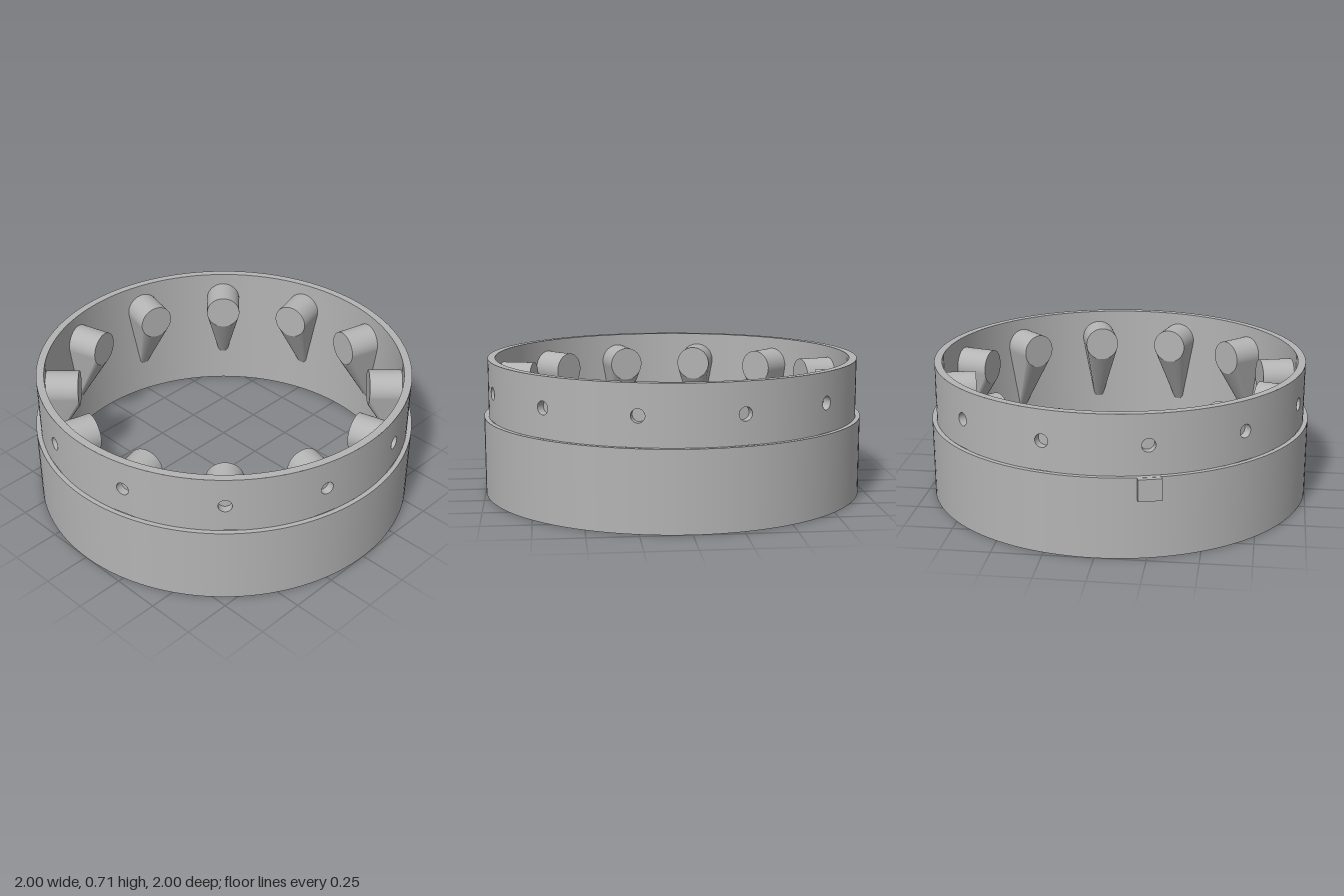
import * as THREE from 'three';

const R_LOW = 1, R_UP = 0.976, R_IN = 0.936;
const STEP = 0.41, TOP = 0.715;
const COUNT = 12, HOLE_Y = 0.56, HOLE_R = 0.034;
const BOSS_R = 0.093, BOSS_END = 0.763, BORE_END = 0.79;
const PANEL = THREE.MathUtils.degToRad(4);

// Flat panel with a hole, bent round the upper wall
function holePanel() {
  const w = PANEL * R_UP;
  const shape = new THREE.Shape();
  shape.moveTo(-w, STEP).lineTo(w, STEP).lineTo(w, TOP).lineTo(-w, TOP).closePath();
  const hole = new THREE.Path();
  hole.absarc(0, HOLE_Y, HOLE_R, 0, Math.PI * 2, true);
  shape.holes.push(hole);
  const geo = new THREE.ShapeGeometry(shape, 16);
  const p = geo.attributes.position, n = geo.attributes.normal;
  for (let i = 0; i < p.count; i++) {
    const a = p.getX(i) / R_UP;
    p.setXYZ(i, R_UP * Math.sin(a), p.getY(i), R_UP * Math.cos(a));
    n.setXYZ(i, Math.sin(a), 0, Math.cos(a));
  }
  return geo;
}

// Boss that blends from a round end into a teardrop on the wall
function bossGeometry() {
  const far = 0.95, tipY = 0.19, tipR = 0.025, sides = 72;
  const limit = (BOSS_R - tipR) / (HOLE_Y - tipY);
  const pos = [], index = [];
  for (let i = 0; i < sides; i++) {
    const a = (i / sides) * Math.PI * 2, c = Math.cos(a), s = Math.sin(a);
    const low = -s > limit;
    const r = low ? tipR : BOSS_R, y = low ? tipY : HOLE_Y;
    pos.push(BOSS_R * c, HOLE_Y + BOSS_R * s, BOSS_END, r * c, y + r * s, far);
    const n0 = 2 * i, n1 = 2 * ((i + 1) % sides);
    index.push(n0, n1, n1 + 1, n0, n1 + 1, n0 + 1);
  }
  const geo = new THREE.BufferGeometry();
  geo.setAttribute('position', new THREE.Float32BufferAttribute(pos, 3));
  geo.setIndex(index);
  geo.computeVertexNormals();
  return geo;
}

export function createModel() {
  const model = new THREE.Group();
  model.name = 'steppedRing';
  const grey = new THREE.MeshStandardMaterial({ color: 0xb4b4b4, side: THREE.DoubleSide });
  grey.name = 'grey';

  const add = (parent, name, geo) => {
    const mesh = new THREE.Mesh(geo, grey);
    mesh.name = name;
    parent.add(mesh);
    return mesh;
  };
  const band = (r0, y0, r1, y1, segments = 144, start = 0, length = Math.PI * 2) =>
    new THREE.LatheGeometry(
      [new THREE.Vector2(r0, y0), new THREE.Vector2(r1, y1)], segments, start, length);

  // Ring walls, one band per surface so the edges stay sharp
  add(model, 'lowerWall', band(R_LOW, 0, R_LOW, STEP));
  add(model, 'stepLedge', band(R_LOW, STEP, R_UP, STEP));
  add(model, 'topRim', band(R_UP, TOP, R_IN, TOP));
  add(model, 'innerWall', band(R_IN, TOP, R_IN, 0));
  add(model, 'bottomRim', band(R_IN, 0, R_LOW, 0));

  // Upper wall sections, each with a blind hole and an inner boss
  const panel = holePanel();
  const plain = band(R_UP, STEP, R_UP, TOP, 10, PANEL, Math.PI * 2 / COUNT - 2 * PANEL);
  const boss = bossGeometry();
  const bossCap = new THREE.CircleGeometry(BOSS_R, 72);
  const bore = new THREE.CylinderGeometry(HOLE_R, HOLE_R, R_UP - BORE_END, 32, 1, true);
  const boreCap = new THREE.CircleGeometry(HOLE_R, 32);
  for (let i = 0; i < COUNT; i++) {
    const section = new THREE.Group();
    section.name = 'bossSection';
    section.rotation.y = ((i + 0.5) / COUNT) * Math.PI * 2;
    add(section, 'holePanel', panel);
    add(section, 'upperWall', plain);
    add(section, 'boss', boss);
    const end = add(section, 'bossEnd', bossCap);
    end.position.set(0, HOLE_Y, BOSS_END);
    end.rotation.y = Math.PI;
    const tube = add(section, 'bore', bore);
    tube.position.set(0, HOLE_Y, (R_UP + BORE_END) / 2);
    tube.rotation.x = Math.PI / 2;
    add(section, 'boreEnd', boreCap).position.set(0, HOLE_Y, BORE_END);
    model.add(section);
  }

  // Small locating tab at the back, just under the step
  const tabAngle = Math.PI + Math.PI / 12;
  const tab = add(model, 'tab', new THREE.BoxGeometry(0.115, 0.11, 0.06));
  tab.position.set(0.994 * Math.sin(tabAngle), 0.354, 0.994 * Math.cos(tabAngle));
  tab.rotation.y = tabAngle;

  return model;
}
